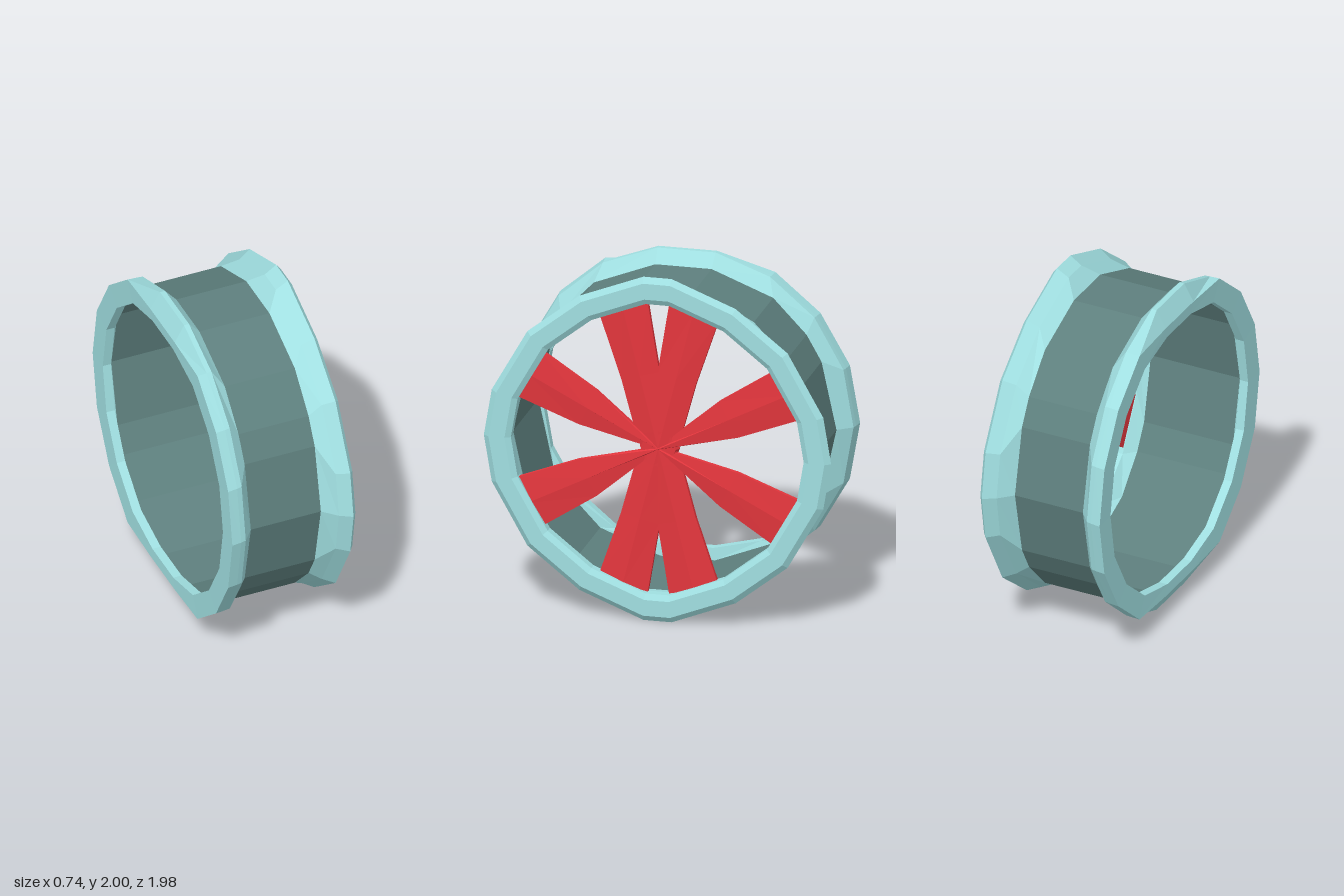
import * as THREE from 'three';

// Skin consecutive cross-sections (arrays of [x, y, z]) with flat facets.
function loft(sections, capped = false) {
  const pos = [];
  const tri = (a, b, c) => pos.push(...a, ...b, ...c);
  for (let s = 0; s < sections.length - 1; s++) {
    const a = sections[s], b = sections[s + 1], n = a.length;
    for (let i = 0; i < n; i++) {
      const j = (i + 1) % n;
      tri(a[i], a[j], b[j]);
      tri(a[i], b[j], b[i]);
    }
  }
  if (capped) {
    const a = sections[0], b = sections[sections.length - 1];
    for (let i = 1; i < a.length - 1; i++) {
      tri(a[0], a[i + 1], a[i]);
      tri(b[0], b[i], b[i + 1]);
    }
  }
  const g = new THREE.BufferGeometry();
  g.setAttribute('position', new THREE.Float32BufferAttribute(pos, 3));
  g.computeVertexNormals();
  return g;
}

// Quarter outlines as [z, y], from the top round to the side.
const RIM = [[0.08, 1], [0.445, 0.857], [0.74, 0.625], [0.943, 0.268], [0.988, 0]];
const BARREL = [[0.16, 0.875], [0.51, 0.738], [0.7, 0.54], [0.785, 0.39], [0.87, 0]];
const REGULAR = [10, 30, 50, 70, 90].map((d) => {
  const t = THREE.MathUtils.degToRad(d);
  return [Math.sin(t), Math.cos(t)];
});
// Same outline with its top corners pulled in to a lower height.
const squash = (quarter, top) => [[quarter[0][0], top], ...quarter.slice(1)];

// Mirror a quarter outline into an 18-sided ring at the given x.
function ring(x, quarter, sz = 1, sy = sz) {
  const q = quarter.map(([z, y]) => [z * sz, y * sy]);
  const back = q.slice(0, 4).reverse();
  const half = [...q, ...back.map(([z, y]) => [z, -y])];
  const far = half.map(([z, y]) => [-z, -y]);
  return [...half, ...far].map(([z, y]) => [x, y, z]);
}

export function createModel() {
  const group = new THREE.Group();
  const wheel = new THREE.Group();
  wheel.name = 'wheel';
  wheel.position.y = 1;
  group.add(wheel);

  const material = (name, color) => {
    const m = new THREE.MeshStandardMaterial({ color });
    m.name = name;
    m.flatShading = true;
    return m;
  };
  const rimMat = material('pale aqua', 0xa0dfe1);
  const barrelMat = material('grey teal', 0x5e807e);
  const spokeMat = material('red', 0xe4363d);

  const add = (name, geometry, mat) => {
    const mesh = new THREE.Mesh(geometry, mat);
    mesh.name = name;
    wheel.add(mesh);
    return mesh;
  };

  // Barrel: outer and inner walls
  const INNER = 0.975;
  add('barrelOuter', loft([ring(-0.22, BARREL), ring(0.2, BARREL)]), barrelMat);
  add('barrelInner', loft([ring(0.24, BARREL, INNER), ring(-0.31, BARREL, INNER)]), barrelMat);

  // Flange on the spoke side
  add('outerFlange', loft([
    ring(0.2, BARREL),
    ring(0.275, RIM, 0.957),
    ring(0.345, RIM),
    ring(0.37, RIM, 0.967),
    ring(0.37, RIM, 0.875),
    ring(0.35, RIM, 0.843),
    ring(0.3, RIM, 0.843),
    ring(0.24, BARREL, INNER),
  ]), rimMat);

  // Flange on the open side, its end flattened at top and bottom
  const opening = squash(REGULAR, 0.785 / 0.83);
  add('innerFlange', loft([
    ring(-0.31, BARREL, INNER),
    ring(-0.32, opening, 0.83),
    ring(-0.37, opening, 0.83),
    ring(-0.372, squash(REGULAR, 0.85 / 0.965), 0.965),
    ring(-0.315, REGULAR, 0.957, 0.965),
    ring(-0.285, REGULAR, 0.95, 0.965),
    ring(-0.22, BARREL),
  ]), rimMat);

  // Spokes: thin ridged blades given as [radius, half width]
  const blade = (stations) => loft(stations.map(([r, w]) => [
    [0.3, r, w], [0.325, r, w], [0.338, r, 0], [0.325, r, -w], [0.3, r, -w],
  ]), true);
  const steep = blade([[0, 0.09], [0.1, 0.105], [0.43, 0.112], [0.83, 0.145]]);
  const wide = blade([[0, 0.006], [0.45, 0.114], [0.83, 0.155]]);
  for (const [geometry, deg, x] of [[steep, 14, 0], [wide, 63, 0.005]]) {
    for (const angle of [deg, -deg, 180 - deg, 180 + deg]) {
      const spoke = add('spoke', geometry, spokeMat);
      spoke.rotation.x = THREE.MathUtils.degToRad(angle);
      spoke.position.x = x;
    }
  }

  // Hub where the spokes meet
  const hub = add('hub', new THREE.CylinderGeometry(0.1, 0.115, 0.04, 8), spokeMat);
  hub.rotation.z = -Math.PI / 2;
  hub.position.x = 0.312;

  return group;
}
